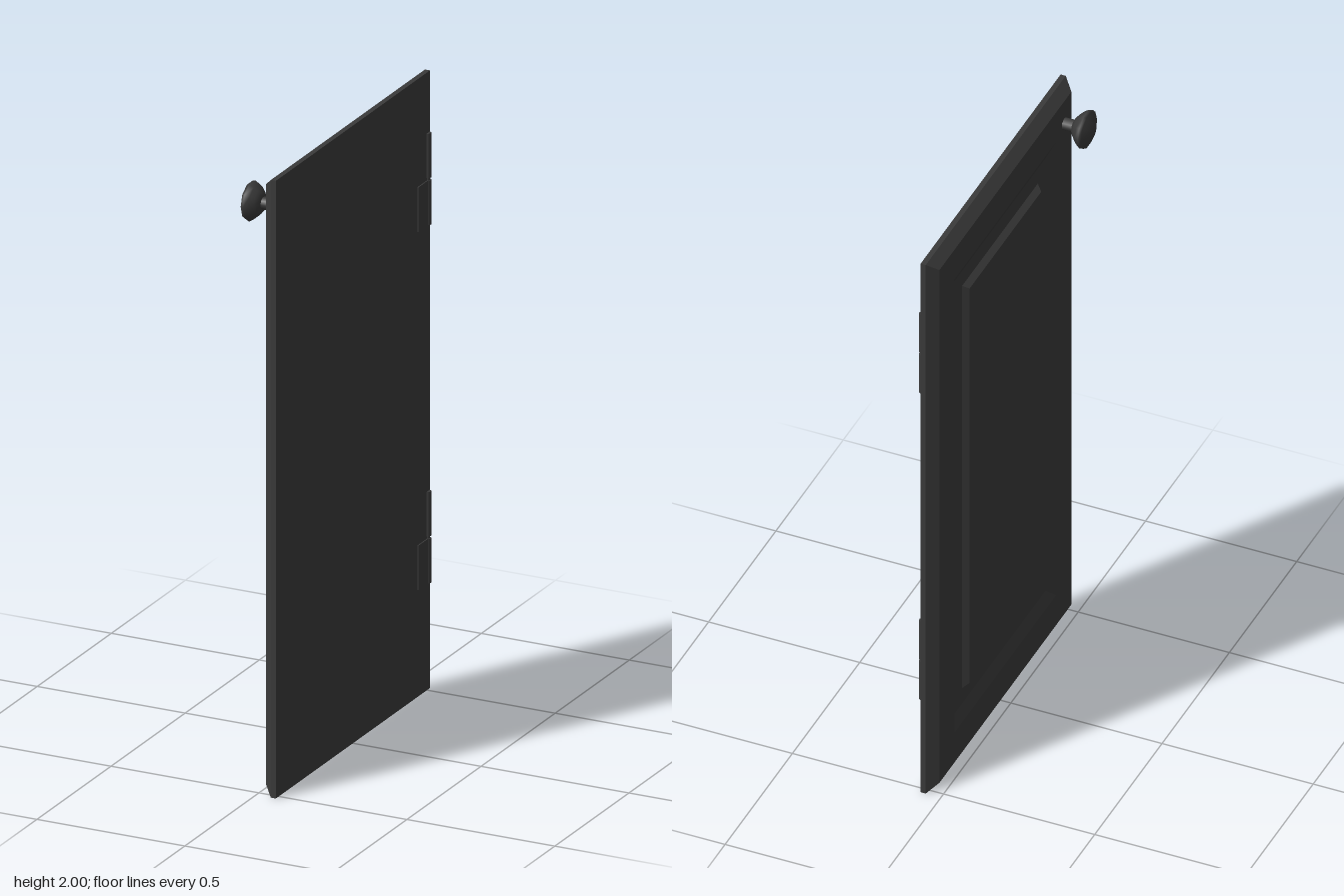
import * as THREE from 'three';

const material = new THREE.MeshStandardMaterial({ color: 0x3a3a3a });

function addMesh(parent, geometry, name, x = 0, y = 0, z = 0) {
  const mesh = new THREE.Mesh(geometry, material);
  mesh.name = name;
  mesh.position.set(x, y, z);
  parent.add(mesh);
  return mesh;
}

// Skin of nested rectangles [inset from the door edge, x], closed at both ends
function nestedPanel(rings, halfY, halfZ) {
  const corners = rings.map(([inset, x]) =>
    [[1, 1], [1, -1], [-1, -1], [-1, 1]].map(([sy, sz]) => [x, sy * (halfY - inset), sz * (halfZ - inset)]));
  const positions = [];
  const quad = (a, b, c, d) => positions.push(...a, ...b, ...c, ...a, ...c, ...d);
  for (let i = 0; i < corners.length - 1; i++) {
    const p = corners[i], q = corners[i + 1];
    for (let k = 0; k < 4; k++) {
      const n = (k + 1) % 4;
      quad(p[k], p[n], q[n], q[k]);
    }
  }
  const back = corners[0], front = corners[corners.length - 1];
  quad(back[3], back[2], back[1], back[0]);
  quad(front[0], front[1], front[2], front[3]);
  const geometry = new THREE.BufferGeometry();
  geometry.setAttribute('position', new THREE.Float32BufferAttribute(positions, 3));
  geometry.computeVertexNormals();
  return geometry;
}

export function createModel() {
  const model = new THREE.Group();
  model.name = 'cabinetDoor';

  // Door: flat back, bevelled rim, sunken groove and raised centre panel
  const doorRings = [
    [0, 0.067], [0, 0.05], [0.03, 0.018],
    [0.142, 0.018], [0.182, 0.036],
    [0.239, 0.036], [0.254, 0.018],
  ];
  addMesh(model, nestedPanel(doorRings, 1, 0.52), 'doorPanel', 0, 1, 0);

  // Knob turned around an axis pointing to -x
  const knob = new THREE.Group();
  knob.name = 'knob';
  knob.position.set(0.018, 1.886, 0.438);
  knob.rotation.z = Math.PI / 2;
  model.add(knob);
  addMesh(knob, new THREE.CylinderGeometry(0.02, 0.02, 0.042, 10, 1, true), 'knobStem', 0, 0.018, 0);
  const capProfile = [
    [0, 0.034], [0.027, 0.034], [0.042, 0.046], [0.054, 0.058],
    [0.0635, 0.072], [0.06, 0.081], [0.018, 0.098], [0, 0.098],
  ].map(([r, h]) => new THREE.Vector2(r, h));
  addMesh(knob, new THREE.LatheGeometry(capProfile, 10), 'knobCap');

  // Hinges: two stacked knuckles on a pin, the lower one carrying a leaf
  for (const y of [0.495, 1.655]) {
    const hinge = new THREE.Group();
    hinge.name = 'hinge';
    hinge.position.set(0.066, y, -0.507);
    model.add(hinge);
    for (const side of [-1, 1]) {
      addMesh(hinge, new THREE.CylinderGeometry(0.011, 0.011, 0.144, 20), 'hingeKnuckle', 0, side * 0.076, 0);
    }
    addMesh(hinge, new THREE.CylinderGeometry(0.007, 0.007, 0.28, 12), 'hingePin');
    addMesh(hinge, new THREE.BoxGeometry(0.006, 0.144, 0.073), 'hingeLeaf', 0.002, -0.076, 0.0365);
  }

  return model;
}
